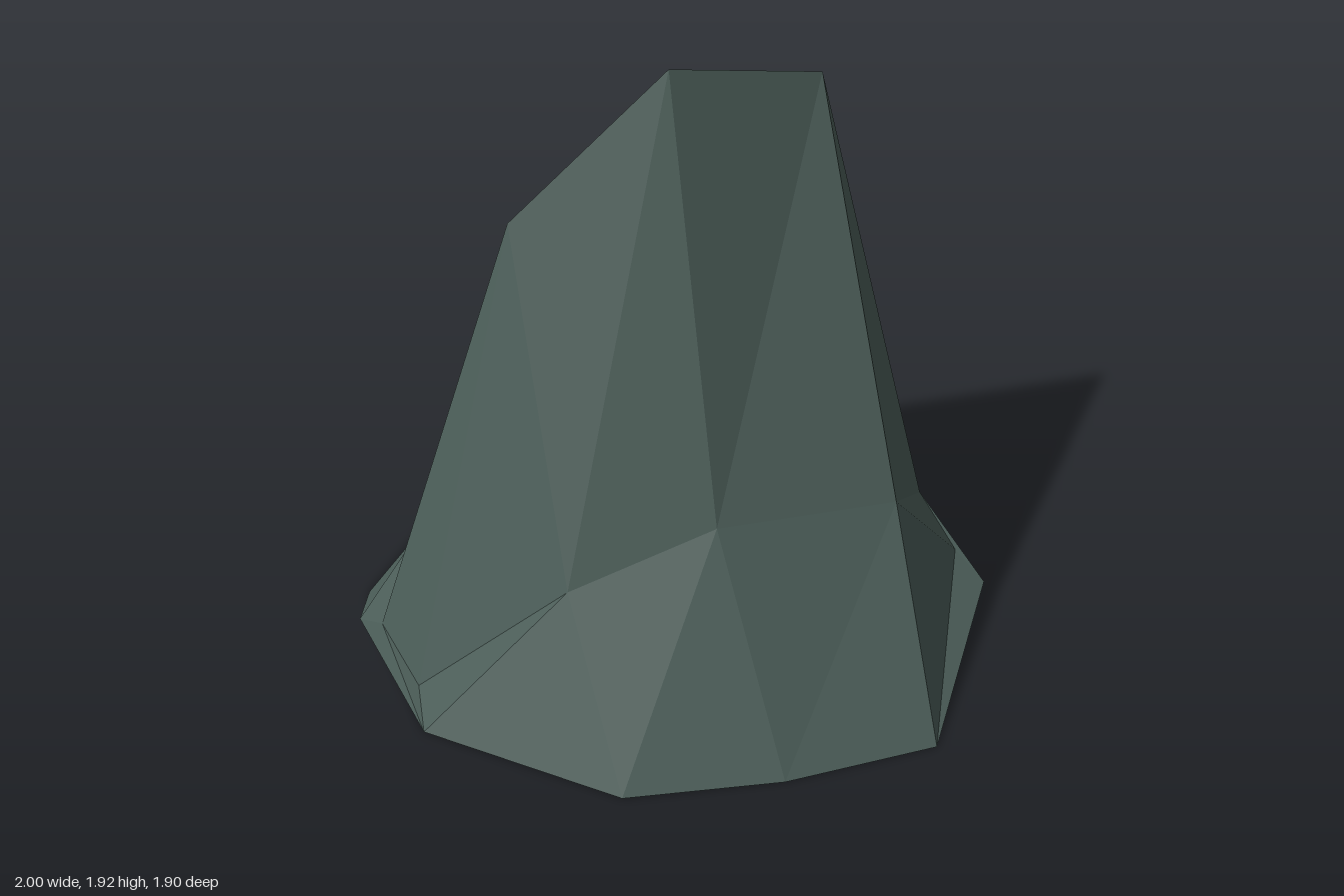
import * as THREE from 'three';

// Five cross-sections from the model's right to its left, each running
// front foot -> front bend -> ridge -> back bend -> back foot.
const SECTIONS = [
  [[-0.93, 0, 0.34], [-0.90, 0.04, 0.18], [-0.95, 0.11, -0.06], [-1.0, 0.05, -0.17], [-0.93, 0, -0.34]],
  [[-0.45, 0, 0.81], [-0.48, 0.51, 0.43], [-0.47, 1.51, -0.06], [-0.42, 0.58, -0.41], [-0.45, 0, -0.82]],
  [[0.03, 0, 0.92], [-0.03, 0.67, 0.49], [0.02, 1.92, -0.05], [-0.03, 0.77, -0.46], [0.03, 0, -0.93]],
  [[0.52, 0, 0.95], [0.55, 0.62, 0.51], [0.53, 1.78, -0.12], [0.45, 0.73, -0.48], [0.52, 0, -0.95]],
  [[1.0, 0, 0.33], [0.96, 0.04, 0.19], [0.945, 0.1, -0.06], [0.96, 0.06, -0.17], [1.0, 0, -0.34]],
];

function facets(triangles) {
  const geometry = new THREE.BufferGeometry();
  geometry.setAttribute('position', new THREE.Float32BufferAttribute(triangles.flat(2), 3));
  geometry.computeVertexNormals(); // unshared corners give flat facets
  return geometry;
}

export function createModel() {
  const group = new THREE.Group();
  group.name = 'rock';
  const stone = new THREE.MeshStandardMaterial({ color: 0x4a5c57, side: THREE.DoubleSide, flatShading: true });
  stone.name = 'grey green stone';

  const add = (name, triangles) => {
    const mesh = new THREE.Mesh(facets(triangles), stone);
    mesh.name = name;
    group.add(mesh);
  };

  // Slopes: skin between neighbouring sections, open underneath
  const slopes = { frontSlope: [], backSlope: [] };
  for (let i = 0; i < 4; i++) {
    for (let j = 0; j < 4; j++) {
      const [a, b] = [SECTIONS[i], SECTIONS[i + 1]];
      slopes[j < 2 ? 'frontSlope' : 'backSlope'].push(
        [a[j], b[j], b[j + 1]],
        [a[j], b[j + 1], a[j + 1]],
      );
    }
  }
  for (const name in slopes) add(name, slopes[name]);

  // Low end walls: fans from the front foot of the outer sections
  const fan = (s) => [1, 2, 3].map((j) => [s[0], s[j], s[j + 1]]);
  add('rightEnd', fan(SECTIONS[0]));
  add('leftEnd', fan(SECTIONS[4]).map(([a, b, c]) => [a, c, b]));

  return group;
}
